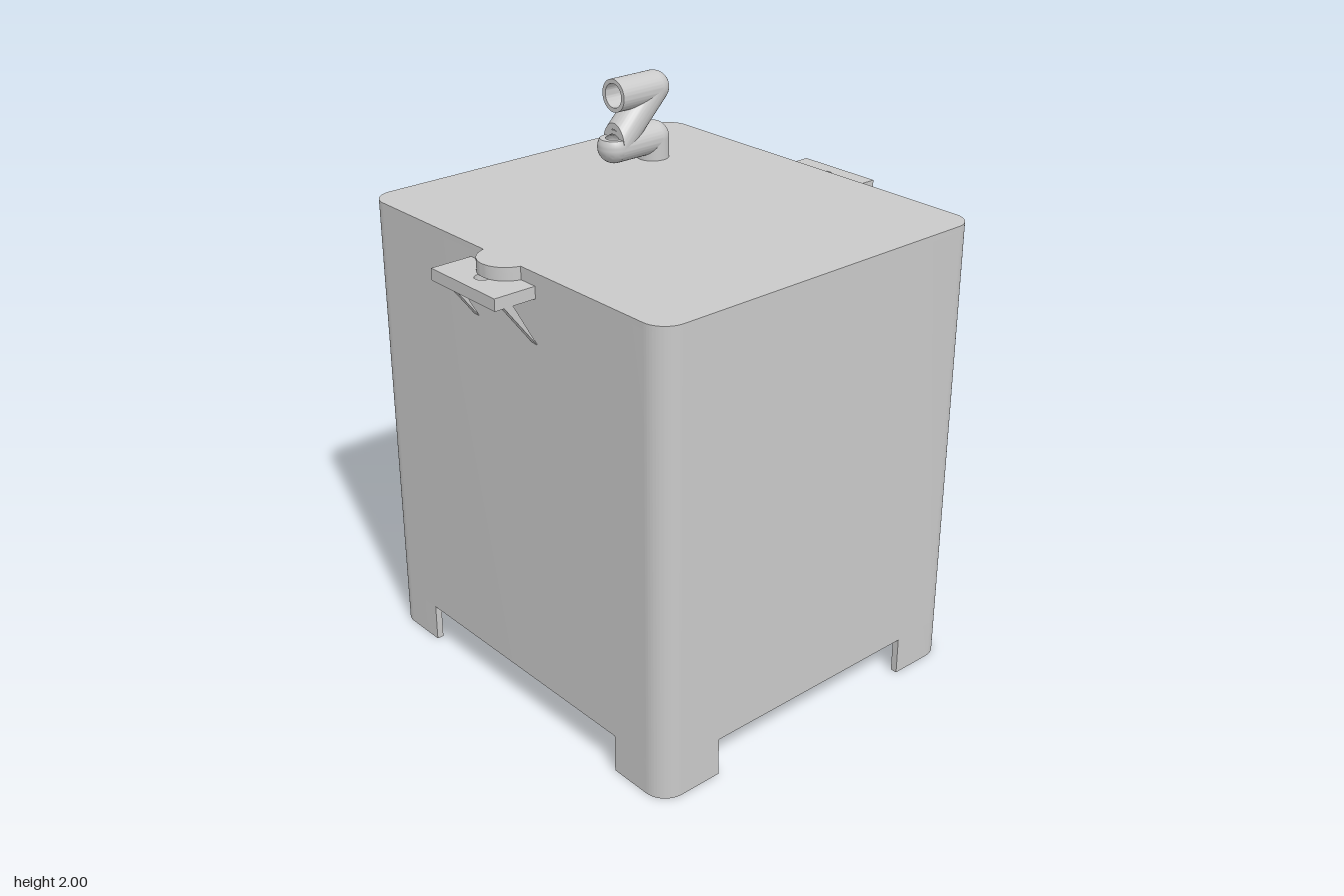
import * as THREE from 'three';
import { toCreasedNormals } from 'three/addons/utils/BufferGeometryUtils.js';

const W = 0.686, D = 0.761, R = 0.084, WALL = 0.025, TOP = 1.68, NOTCH = 0.14;
const FLOOR_RIM = 0.37, FLOOR_LOW = 0.25;

// Rounded rectangle in plan, centred on the origin
function roundedRect(w, d, r, path = new THREE.Shape()) {
  path.moveTo(w, -d + r);
  path.lineTo(w, d - r);
  path.absarc(w - r, d - r, r, 0, Math.PI / 2);
  path.lineTo(-w + r, d);
  path.absarc(-w + r, d - r, r, Math.PI / 2, Math.PI);
  path.lineTo(-w, -d + r);
  path.absarc(-w + r, -d + r, r, Math.PI, Math.PI * 1.5);
  path.lineTo(w - r, -d);
  path.absarc(w - r, -d + r, r, Math.PI * 1.5, Math.PI * 2);
  return path;
}

function polygon(points) {
  return new THREE.Shape(points.map(([x, y]) => new THREE.Vector2(x, y)));
}

function extrude(shape, depth) {
  const g = new THREE.ExtrudeGeometry(shape, { depth, bevelEnabled: false, curveSegments: 32 });
  return toCreasedNormals(g, 0.5);
}

// Plan shape raised from y0 to y1
function slab(shape, y0, y1) {
  return extrude(shape, y1 - y0).rotateX(-Math.PI / 2).translate(0, y0, 0);
}

// Hollow straight tube running along +x
function tube(radius, bore, length) {
  const ring = new THREE.Shape().absarc(0, 0, radius, 0, Math.PI * 2);
  ring.holes.push(new THREE.Path().absarc(0, 0, bore, 0, Math.PI * 2));
  return extrude(ring, length).rotateY(Math.PI / 2);
}

export function createModel() {
  const model = new THREE.Group();
  const grey = new THREE.MeshStandardMaterial({ color: 0xc9c9c9, side: THREE.DoubleSide });
  grey.name = 'grey';

  function add(name, geometry, parent = model) {
    const mesh = new THREE.Mesh(geometry, grey);
    mesh.name = name;
    parent.add(mesh);
    return mesh;
  }

  // Tank walls and lid
  const wallShape = roundedRect(W, D, R);
  wallShape.holes.push(roundedRect(W - WALL, D - WALL, R - WALL, new THREE.Path()));
  add('tankWalls', slab(wallShape, NOTCH, TOP - 0.02));
  add('lid', slab(roundedRect(W, D, R), TOP - 0.02, TOP));

  // Four corner feet continuing the walls: two mirrored shapes, each turned half round
  for (const m of [1, -1]) {
    const cx = m * (W - R), cz = D - R;
    const side = m > 0 ? 0 : Math.PI, back = Math.PI / 2;
    const foot = new THREE.Shape();
    foot.moveTo(m * W, 0.52);
    foot.lineTo(m * W, cz);
    foot.absarc(cx, cz, R, side, back, m < 0);
    foot.lineTo(m * 0.44, D);
    foot.lineTo(m * 0.44, D - WALL);
    foot.lineTo(cx, D - WALL);
    foot.absarc(cx, cz, R - WALL, back, side, m > 0);
    foot.lineTo(m * (W - WALL), 0.52);
    for (const turn of [0, Math.PI]) add('cornerFoot', slab(foot, 0, NOTCH).rotateY(turn));
  }

  // Sloping floor lofted from the walls to the outlet
  const rim = roundedRect(W - 0.01, D - 0.01, R - 0.01).getSpacedPoints(96);
  const pos = [], index = [];
  rim.forEach((p, i) => {
    const s = 0.19 / p.length();
    pos.push(p.x, FLOOR_RIM, p.y, p.x * s, FLOOR_LOW, p.y * s);
    if (i < rim.length - 1) {
      const a = i * 2;
      index.push(a, a + 2, a + 1, a + 1, a + 2, a + 3);
    }
  });
  const floor = new THREE.BufferGeometry();
  floor.setAttribute('position', new THREE.Float32BufferAttribute(pos, 3));
  floor.setIndex(index);
  floor.computeVertexNormals();
  add('slopingFloor', floor);

  // Outlet collar
  const collar = [[0.15, 0.28], [0.15, 0.05], [0.2, 0.05], [0.2, 0.28], [0.15, 0.28]]
    .map(([x, y]) => new THREE.Vector2(x, y));
  add('outletCollar', toCreasedNormals(new THREE.LatheGeometry(collar, 64), 0.5));

  // Four radial ribs under the floor
  const ribShape = polygon([[0.18, NOTCH], [0.635, NOTCH], [0.635, FLOOR_RIM], [0.18, FLOOR_LOW + 0.01]]);
  for (let i = 0; i < 4; i++) {
    add('floorRib', extrude(ribShape, 0.03).translate(0, 0, -0.015).rotateY(i * Math.PI / 2));
  }

  // Side brackets with a bolt hole and two gussets each
  for (const s of [1, -1]) {
    const bracket = new THREE.Group();
    bracket.name = s > 0 ? 'leftBracket' : 'rightBracket';
    model.add(bracket);
    const x0 = s > 0 ? 0.675 : -0.84, x1 = s > 0 ? 0.84 : -0.675;
    const plate = polygon([[x0, -0.168], [x1, -0.168], [x1, 0.168], [x0, 0.168]]);
    plate.holes.push(new THREE.Path().absarc(s * 0.762, 0, 0.027, 0, Math.PI * 2));
    add('bracketPlate', slab(plate, 1.593, 1.635), bracket);
    const gusset = s > 0
      ? polygon([[0.68, 1.6], [0.68, 1.43], [0.808, 1.6]])
      : polygon([[-0.81, 1.6], [-0.68, 1.43], [-0.775, 1.6]]);
    for (const z of [0.154, -0.154]) {
      add('gusset', extrude(gusset, 0.027).translate(0, 0, z - 0.0135), bracket);
    }
  }

  // Round boss beside the lid
  const boss = new THREE.Shape().absarc(-0.663, 0, 0.1, 0, Math.PI * 2);
  add('lidBoss', slab(boss, 1.635, TOP));

  // Bent pipe on the lid
  const pipe = new THREE.Group();
  pipe.name = 'bentPipe';
  pipe.position.z = -0.46;
  model.add(pipe);
  const r = 0.06, bore = 0.044, bx = 0.335, yLow = 1.755, yHigh = 1.94, xEnd = 0.152;
  add('pipeRiser', new THREE.CylinderGeometry(r, r, yLow - 1.67, 32).translate(bx, (yLow + 1.67) / 2, 0), pipe);
  for (const y of [yLow, yHigh]) add('pipeElbow', new THREE.SphereGeometry(r, 32, 20).translate(bx, y, 0), pipe);
  add('lowerPipe', tube(r, bore, bx - xEnd).translate(xEnd, yLow, 0), pipe);
  add('spout', tube(r, bore, bx - xEnd).translate(xEnd, yHigh, 0), pipe);

  // Open cup at the end of the lower pipe, cut level above its middle
  const cup = [];
  const cutY = 0.032;
  const arc = (radius, t) => {
    const a = t * Math.acos(-cutY / radius);
    return new THREE.Vector2(radius * Math.sin(a), -radius * Math.cos(a));
  };
  for (let i = 0; i <= 14; i++) cup.push(arc(r, i / 14));
  for (let i = 14; i >= 0; i--) cup.push(arc(bore, i / 14));
  add('pipeCup', toCreasedNormals(new THREE.LatheGeometry(cup, 32), 0.6).translate(xEnd, yLow, 0), pipe);

  // Diagonal run, its lower end trimmed upright
  const dx = bx - xEnd, dy = yHigh - yLow;
  const diagonal = tube(r, bore, Math.hypot(dx, dy)).rotateZ(Math.atan2(dy, dx)).translate(xEnd, yLow, 0);
  const p = diagonal.attributes.position;
  for (let i = 0; i < p.count; i++) {
    const t = Math.max(0, (xEnd - p.getX(i)) / dx);
    p.setXY(i, p.getX(i) + t * dx, p.getY(i) + t * dy);
  }
  add('diagonalPipe', toCreasedNormals(diagonal, 0.5), pipe);

  return model;
}
